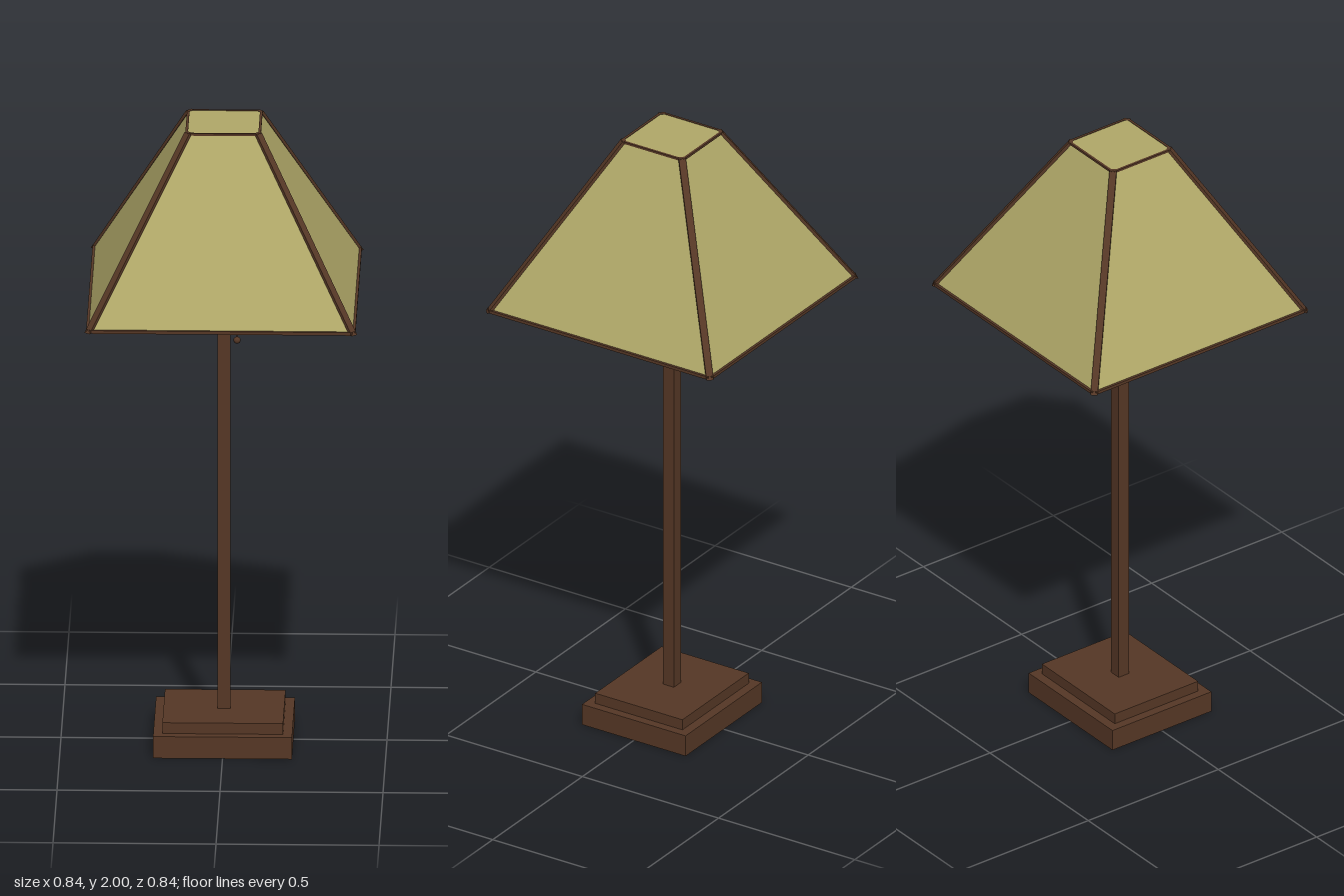
import * as THREE from 'three';

export function createModel() {
  const lamp = new THREE.Group();
  lamp.name = 'tableLamp';
  const wood = new THREE.MeshStandardMaterial({ color: 0x553725 });
  const fabric = new THREE.MeshStandardMaterial({ color: 0xb0a868, side: THREE.DoubleSide });
  fabric.flatShading = true;

  function add(parent, name, geometry, material, x = 0, y = 0, z = 0) {
    const mesh = new THREE.Mesh(geometry, material);
    mesh.name = name;
    mesh.position.set(x, y, z);
    parent.add(mesh);
    return mesh;
  }
  const box = (w, h, d) => new THREE.BoxGeometry(w, h, d);

  // Stepped base and square post
  add(lamp, 'basePlinth', box(0.426, 0.07, 0.38), wood, 0, 0.035, 0);
  add(lamp, 'baseStep', box(0.37, 0.035, 0.32), wood, 0, 0.0875, 0);
  add(lamp, 'post', box(0.04, 1.885, 0.04), wood, 0, 1.0475, 0);

  // Pull cord hanging from a short arm beside the post
  add(lamp, 'cordArm', box(0.03, 0.012, 0.012), wood, 0.03, 1.85, 0);
  add(lamp, 'pullCord', new THREE.CylinderGeometry(0.002, 0.002, 0.55, 6), wood, 0.04, 1.575, 0);
  add(lamp, 'cordBead', new THREE.SphereGeometry(0.011, 12, 8), wood, 0.04, 1.292, 0);

  // Shade: four sloping panels, open below, with a flat panel on top
  const shade = new THREE.Group();
  shade.name = 'shade';
  lamp.add(shade);
  const low = 1.452, high = 1.998, lowHalf = 0.409, highHalf = 0.109;
  const panels = new THREE.CylinderGeometry(
    highHalf * Math.SQRT2, lowHalf * Math.SQRT2, high - low, 4, 1, true);
  panels.rotateY(Math.PI / 4);
  add(shade, 'sidePanels', panels, fabric, 0, (low + high) / 2, 0);
  const cap = new THREE.PlaneGeometry(2 * highHalf, 2 * highHalf).rotateX(-Math.PI / 2);
  add(shade, 'topPanel', cap, fabric, 0, high, 0);

  // Corner strut: a box sheared so that its ends stay level
  const strut = box(0.022, 0.55, 0.012);
  const p = strut.attributes.position;
  for (let i = 0; i < p.count; i++) {
    p.setZ(i, p.getZ(i) + (p.getY(i) > 0 ? 0.151 : 0.575));
  }
  strut.computeVertexNormals();

  // Frame: one rim strip per side, one strut per corner
  for (let i = 0; i < 4; i++) {
    const side = new THREE.Group();
    side.name = 'frameSide' + (i + 1);
    side.rotation.y = i * Math.PI / 2;
    shade.add(side);
    add(side, 'bottomRim', box(0.808, 0.01, 0.008), wood, 0, 1.455, 0.409);
    add(side, 'topRim', box(0.218, 0.007, 0.008), wood, 0, 1.9962, 0.112);
    add(side, 'cornerStrut', strut, wood, 0, 1.725, 0).rotation.y = Math.PI / 4;
  }
  return lamp;
}
